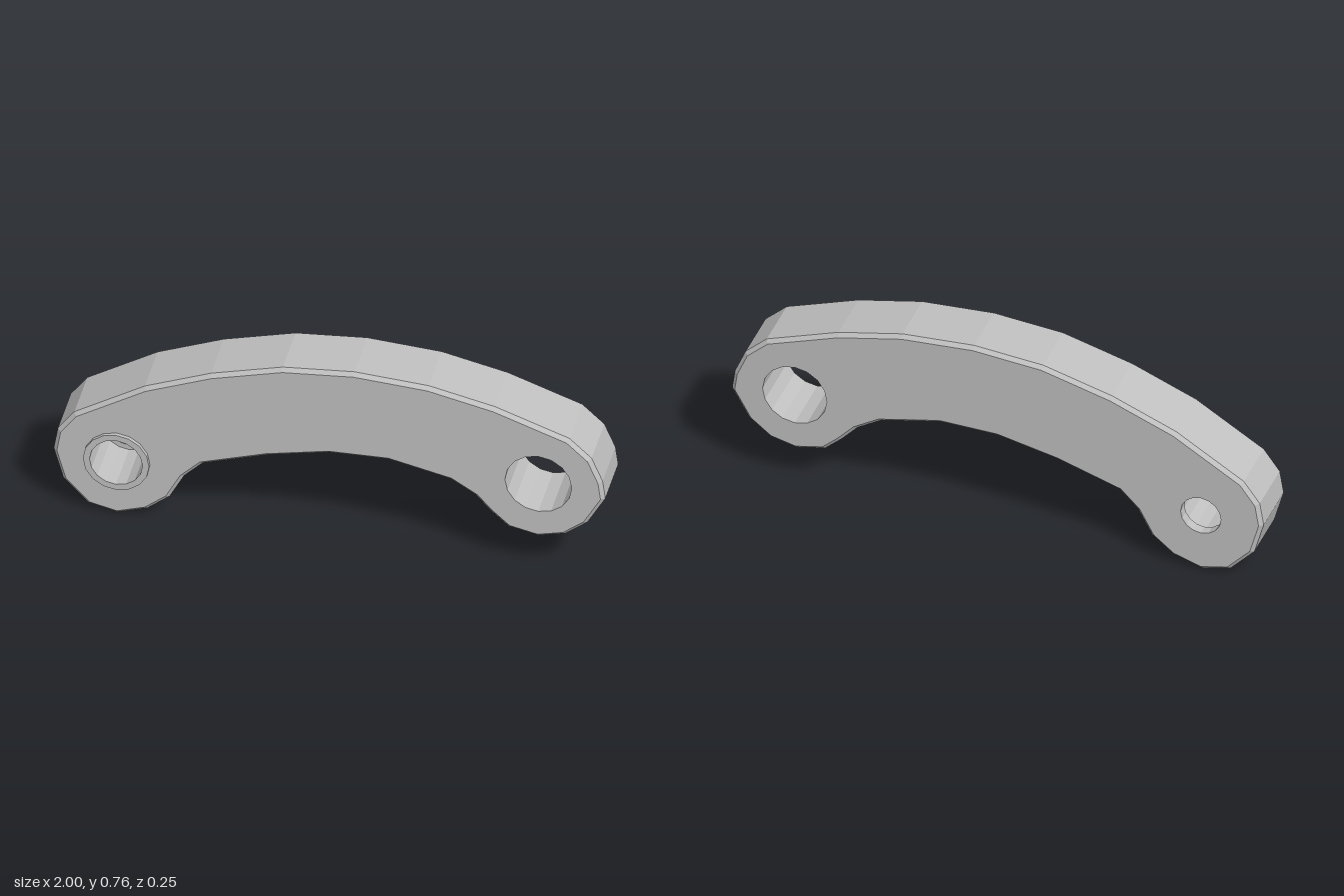
import * as THREE from 'three';

const V = (x, y) => new THREE.Vector2(x, y);

// Outer outline of the curved link, counter-clockwise seen from the front
const outline = [
  [-0.925, 0.417], [-0.67, 0.572], [-0.43, 0.668], [-0.17, 0.738], [0.09, 0.76], [0.36, 0.743],
  [0.6, 0.69], [0.87, 0.594], [0.95, 0.52], [0.99, 0.425], [1, 0.35], [0.935, 0.235],
  [0.855, 0.172], [0.757, 0.148], [0.65, 0.171], [0.59, 0.225], [0.53, 0.29], [0.44, 0.345],
  [0.215, 0.395], [0, 0.39], [-0.225, 0.342], [-0.46, 0.267], [-0.527, 0.2], [-0.58, 0.1],
  [-0.66, 0.035], [-0.768, 0], [-0.875, 0.025], [-0.965, 0.12], [-1, 0.245], [-0.985, 0.335],
].map(([x, y]) => V(x, y)).reverse();

// Move every corner inwards by d along its mitre
function inset(loop, d) {
  const n = loop.length;
  const normal = (a, b) => V(b.y - a.y, a.x - b.x).normalize();
  return loop.map((p, i) => {
    const n1 = normal(loop[(i + n - 1) % n], p);
    const n2 = normal(p, loop[(i + 1) % n]);
    const k = d / (1 + n1.dot(n2));
    return V(p.x - (n1.x + n2.x) * k, p.y - (n1.y + n2.y) * k);
  });
}

function circle(cx, cy, r, sides = 16) {
  return Array.from({ length: sides }, (_, i) => {
    const a = (i / sides) * Math.PI * 2;
    return V(cx + r * Math.cos(a), cy + r * Math.sin(a));
  });
}

// Skin a list of [loop, z] sections; rising z faces outwards, falling z inwards
function skin(sections) {
  const pos = [];
  for (let s = 0; s + 1 < sections.length; s++) {
    const [A, za] = sections[s], [B, zb] = sections[s + 1];
    A.forEach((a, i) => {
      const j = (i + 1) % A.length, a2 = A[j], b = B[i], b2 = B[j];
      pos.push(a.x, a.y, za, a2.x, a2.y, za, b2.x, b2.y, zb);
      pos.push(a.x, a.y, za, b2.x, b2.y, zb, b.x, b.y, zb);
    });
  }
  const geo = new THREE.BufferGeometry();
  geo.setAttribute('position', new THREE.Float32BufferAttribute(pos, 3));
  geo.computeVertexNormals();
  return geo;
}

// Flat face with holes, facing front or back
function plate(loop, holes, z, back = false) {
  const shape = new THREE.Shape(loop);
  holes.forEach((h) => shape.holes.push(new THREE.Path(h)));
  const geo = new THREE.ShapeGeometry(shape);
  geo.translate(0, 0, z);
  if (back) geo.index.array.reverse();
  geo.computeVertexNormals();
  return geo;
}

export function createModel() {
  const group = new THREE.Group();
  const metal = new THREE.MeshStandardMaterial({ color: 0xc0c0c0, flatShading: true });
  metal.name = 'plain grey';
  const add = (name, geo) => {
    const mesh = new THREE.Mesh(geo, metal);
    mesh.name = name;
    group.add(mesh);
  };

  const front = 0.111, back = -0.124, bossFront = 0.125, step = -0.085, chamfer = 0.014;
  const face = inset(outline, chamfer);
  const largeHole = circle(0.76, 0.385, 0.121);
  const [boss, counterbore, smallHole] = [0.12, 0.096, 0.076].map((r) => circle(-0.768, 0.238, r));

  // Curved body: chamfered rim plus front and back faces
  add('rim', skin([[face, back], [outline, back + chamfer], [outline, front - chamfer], [face, front]]));
  add('frontFace', plate(face, [largeHole, boss], front));
  add('backFace', plate(face, [largeHole, smallHole], back, true));

  // Plain through hole at the left end
  add('largeBore', skin([[largeHole, front], [largeHole, back]]));

  // Raised collar with a stepped bore at the right end
  add('collar', skin([[boss, front], [boss, bossFront], [counterbore, bossFront]]));
  add('steppedBore', skin([[counterbore, bossFront], [counterbore, step], [smallHole, step], [smallHole, back]]));

  return group;
}
